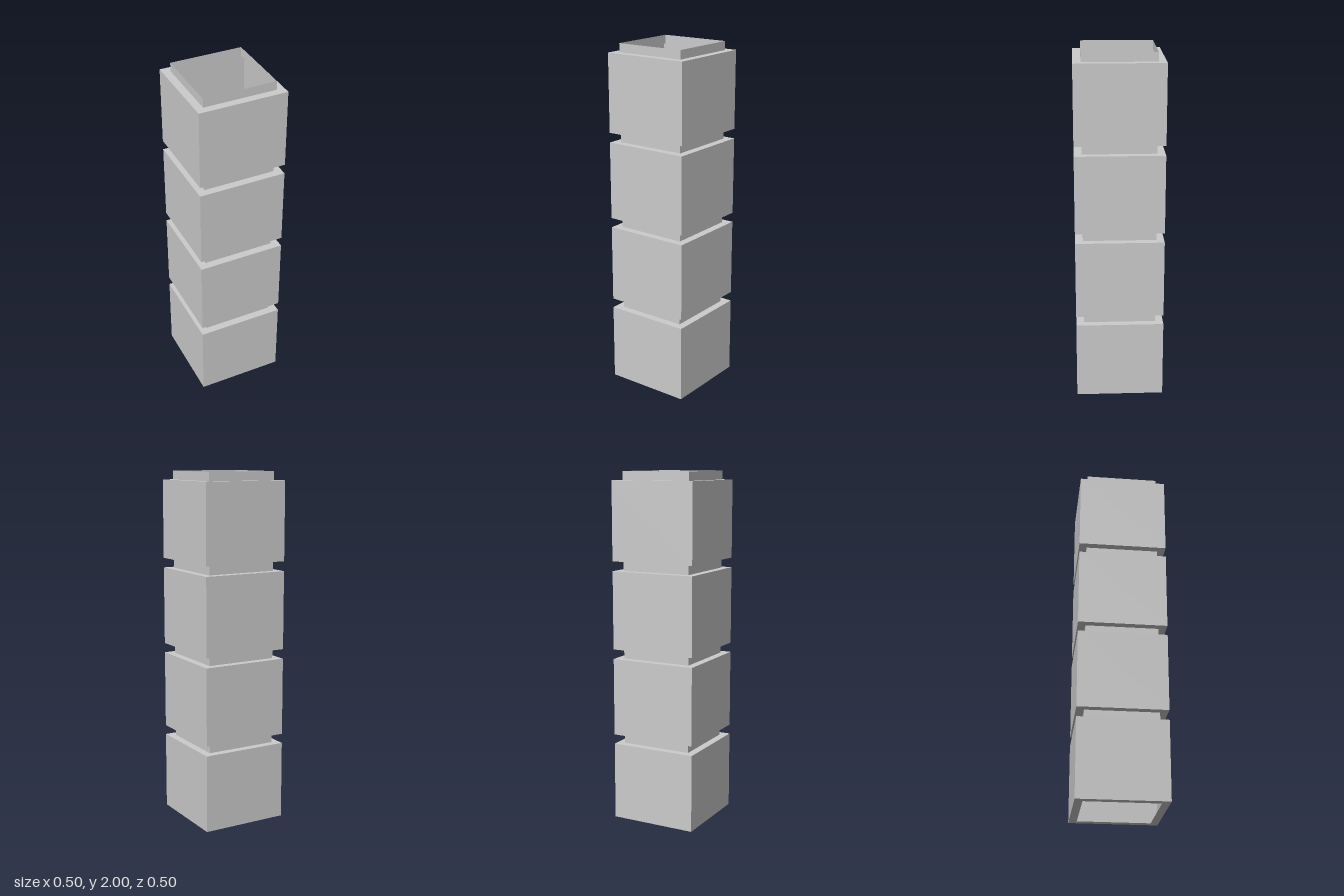
import * as THREE from 'three';

const OUTER = 0.25;    // half width of a block
const INNER = 0.206;   // half width of a neck and of the openings
const PITCH = 0.5015;  // distance between block bottoms
const BLOCK_H = 0.446;
const COUNT = 4;
const TOP = 2;

const material = new THREE.MeshStandardMaterial({
  color: 0xcccccc, flatShading: true, side: THREE.DoubleSide,
});

// Thin square shell swept from a profile of [half width, height] pairs
function squareShell(name, profile) {
  const points = profile.map(([half, y]) => new THREE.Vector2(half * Math.SQRT2, y));
  const geometry = new THREE.LatheGeometry(points, 4).rotateY(Math.PI / 4).toNonIndexed();
  geometry.computeVertexNormals();
  const mesh = new THREE.Mesh(geometry, material);
  mesh.name = name;
  return mesh;
}

export function createModel() {
  const group = new THREE.Group();
  group.name = 'stackedColumn';

  for (let i = 0; i < COUNT; i++) {
    const bottom = i * PITCH;
    const top = bottom + BLOCK_H;
    const next = i < COUNT - 1 ? bottom + PITCH : TOP;

    // Wide block with a square opening at each end
    group.add(squareShell(`block${i + 1}`, [
      [INNER, bottom], [OUTER, bottom], [OUTER, top], [INNER, top],
    ]));

    // Narrow neck leading to the next block, or the open rim at the top
    group.add(squareShell(i < COUNT - 1 ? `neck${i + 1}` : 'topRim', [
      [INNER, top], [INNER, next],
    ]));
  }
  return group;
}
